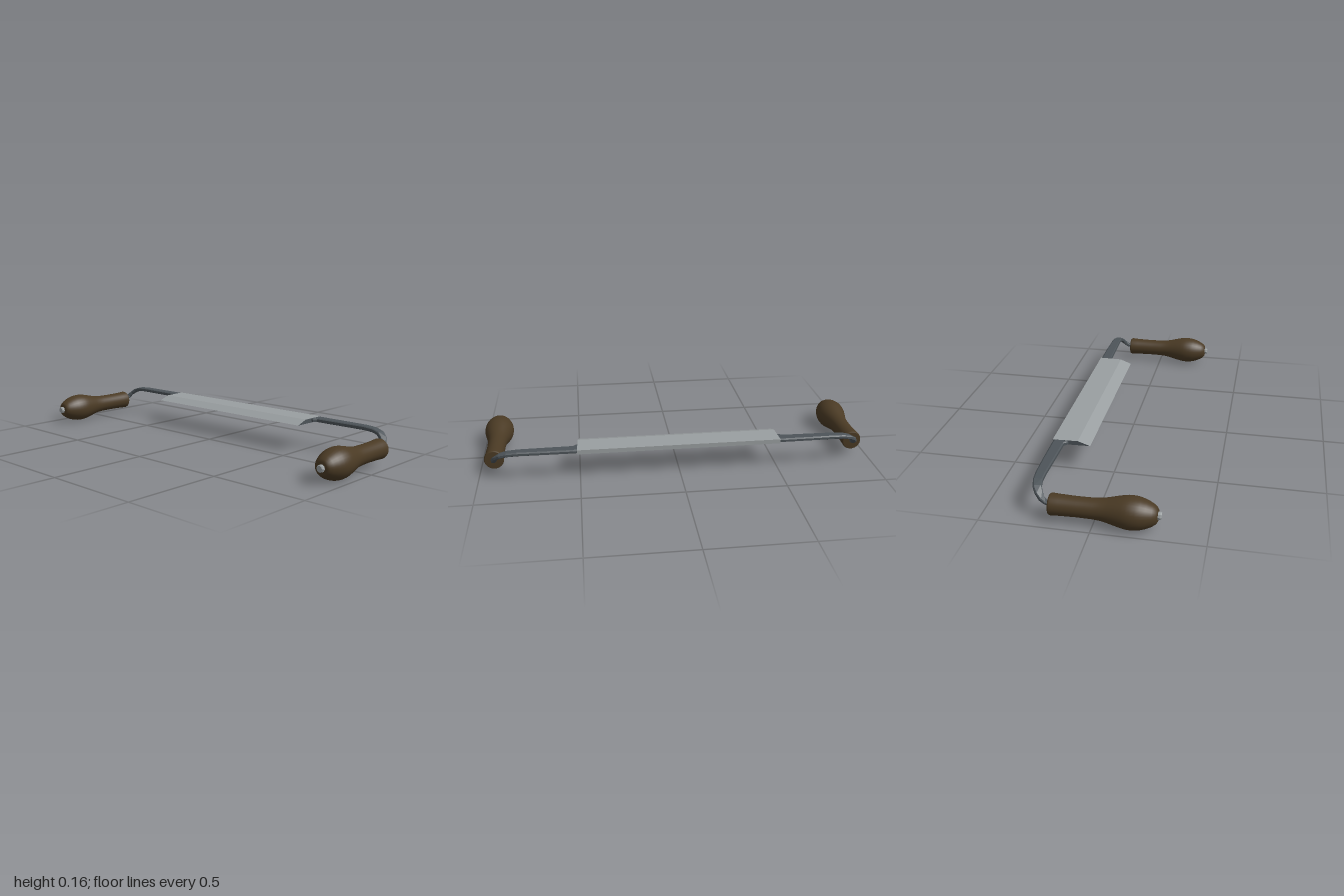
import * as THREE from 'three';

const mat = (name, color, extra = {}) => Object.assign(new THREE.MeshStandardMaterial({ color, ...extra }), { name });

// Turned part: [z, radius] pairs listed from back to front, axis along z
function turned(name, profile, sides, material) {
  const pts = profile.map(([z, r]) => new THREE.Vector2(r, z));
  const mesh = new THREE.Mesh(new THREE.LatheGeometry(pts, sides).rotateX(Math.PI / 2), material);
  mesh.name = name;
  return mesh;
}

// Bar lofted through stations [x, y, z, half width, half thickness]
function loftedBar(stations, side) {
  const ring = [[1, -0.5], [1, 0.5], [0.72, 1], [-0.8, 1], [-1, 0.6], [-1, -0.6], [-0.6, -1], [0.6, -1]];
  const centres = stations.map(([x, y, z]) => new THREE.Vector3(x * side, y, z));
  const pos = [], idx = [], n = ring.length;
  stations.forEach(([, , , hw, ht], i) => {
    const last = centres.length - 1;
    const t = centres[Math.min(i + 1, last)].clone().sub(centres[Math.max(i - 1, 0)]).normalize();
    const w = new THREE.Vector3(t.z, 0, -t.x).normalize();
    const up = t.clone().cross(w);
    for (const [a, b] of ring) {
      // mirror the section so both bars match
      const p = centres[i].clone().addScaledVector(w, a * side * hw).addScaledVector(up, b * ht);
      pos.push(p.x, p.y, p.z);
    }
    if (i === last) return;
    for (let j = 0; j < n; j++) {
      const a = i * n + j, b = i * n + (j + 1) % n;
      if (side > 0) idx.push(a, b, a + n, b, b + n, a + n);
      else idx.push(a, a + n, b, b, a + n, b + n);
    }
  });
  const g = new THREE.BufferGeometry();
  g.setAttribute('position', new THREE.Float32BufferAttribute(pos, 3));
  g.setIndex(idx);
  const flat = g.toNonIndexed();
  flat.computeVertexNormals();
  return flat;
}

export function createModel() {
  const group = new THREE.Group();
  const wood = mat('dark wood', 0x4a3a24);
  const steel = mat('dark steel', 0x4d5459, { flatShading: true });
  const bright = mat('bright steel', 0x9a9fa1, { flatShading: true });

  // Blade: flat back with a bevelled front edge, ends slightly tapered
  const section = new THREE.Shape([[0.115, 0.133], [0.297, 0.133], [0.297, 0.155], [0.175, 0.155]]
    .map(([x, y]) => new THREE.Vector2(x, y)));
  const bladeGeo = new THREE.ExtrudeGeometry(section, { depth: 1.02, bevelEnabled: false });
  bladeGeo.translate(0, 0, -0.51).rotateY(Math.PI / 2);
  const p = bladeGeo.attributes.position;
  for (let i = 0; i < p.count; i++) {
    const k = Math.max(0, (p.getZ(i) + 0.297) / 0.182);
    p.setX(i, p.getX(i) * (1 - 0.014 * k));
  }
  bladeGeo.computeVertexNormals();
  const blade = new THREE.Mesh(bladeGeo, [steel, bright]);
  blade.name = 'blade';
  group.add(blade);

  // Tang: leaves the blade, tapers, then bends forward and down into the handle
  const tangPath = [
    [0.49, 0.144, -0.257, 0.038, 0.0105],
    [0.508, 0.144, -0.258, 0.037, 0.0105],
    [0.515, 0.144, -0.263, 0.032, 0.0105],
    [0.53, 0.144, -0.266, 0.029, 0.0105],
    [0.68, 0.144, -0.267, 0.027, 0.0105],
    [0.80, 0.144, -0.267, 0.024, 0.0105],
    [0.85, 0.140, -0.265, 0.022, 0.0105],
    [0.885, 0.130, -0.258, 0.020, 0.0105],
    [0.908, 0.113, -0.245, 0.017, 0.0105],
    [0.921, 0.094, -0.229, 0.014, 0.010],
    [0.925, 0.080, -0.211, 0.012, 0.009],
    [0.925, 0.075, -0.185, 0.011, 0.008],
  ];
  const handleProfile = [
    [-0.193, 0], [-0.193, 0.045], [-0.191, 0.047], [-0.184, 0.0495], [-0.15, 0.0475], [-0.07, 0.0455],
    [0, 0.0465], [0.04, 0.05], [0.07, 0.0565], [0.1, 0.064], [0.13, 0.071], [0.15, 0.0742], [0.168, 0.075],
    [0.19, 0.0738], [0.21, 0.070], [0.235, 0.062], [0.26, 0.050], [0.275, 0.039], [0.283, 0.028], [0.283, 0],
  ];
  const capProfile = [[0.275, 0], [0.275, 0.0185], [0.294, 0.0185], [0.299, 0.014], [0.299, 0]];

  for (const side of [1, -1]) {
    const label = side > 0 ? 'left' : 'right';
    const tang = new THREE.Mesh(loftedBar(tangPath, side), steel);
    tang.name = label + 'Tang';
    const grip = new THREE.Group();
    grip.name = label + 'Handle';
    grip.position.set(0.925 * side, 0.075, 0);
    grip.add(turned('woodenGrip', handleProfile, 32, wood), turned('endCap', capProfile, 8, bright));
    group.add(tang, grip);
  }
  return group;
}
